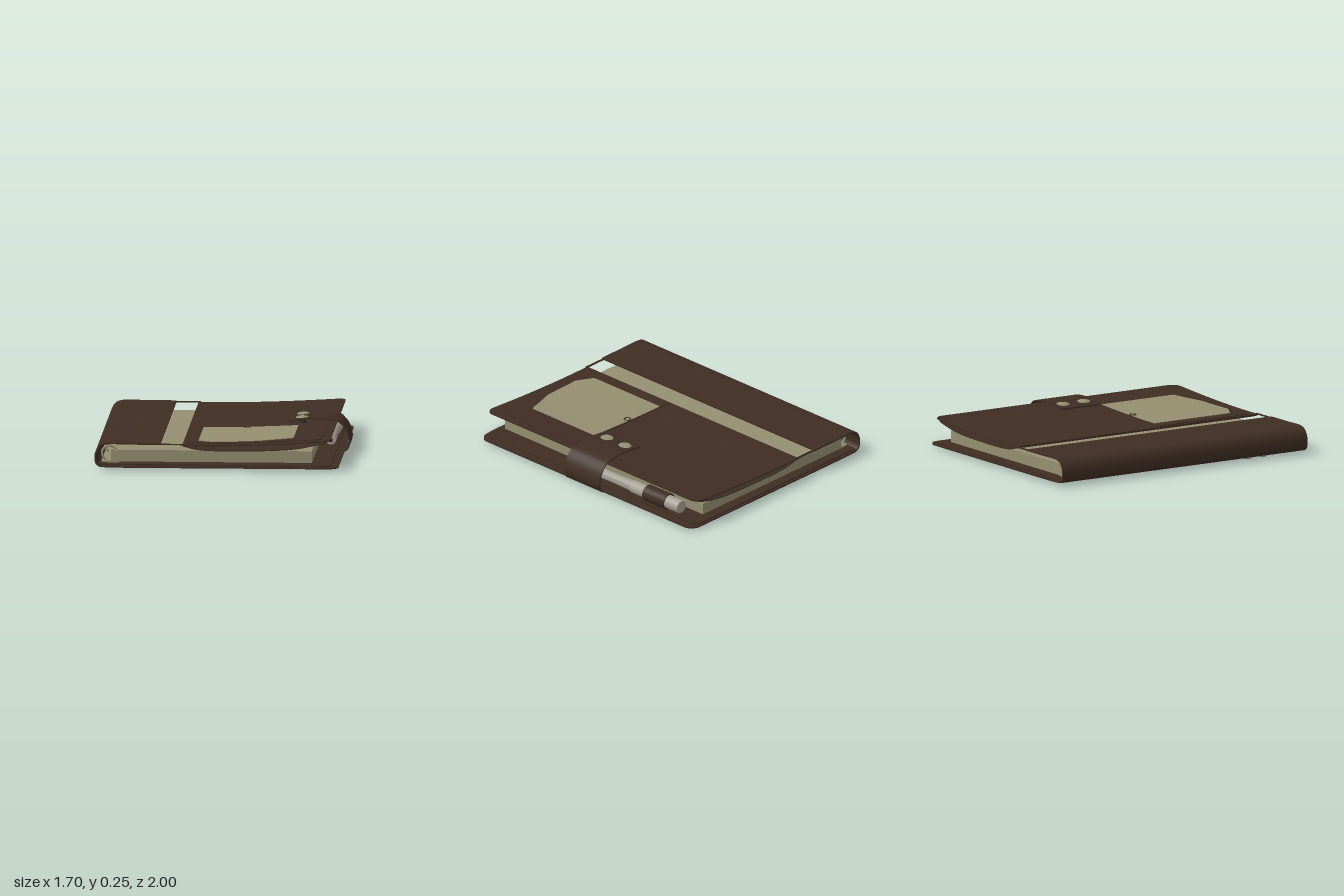
import * as THREE from 'three';
import { toCreasedNormals } from 'three/addons/utils/BufferGeometryUtils.js';

const material = (name, color) => {
  const m = new THREE.MeshStandardMaterial({ color });
  m.name = name;
  return m;
};

// Thin sheet following an (x, y) path; zRange(x) gives its two z edges
function sheet(path, thickness, zRange, samples = 40) {
  const curve = new THREE.CatmullRomCurve3(path.map(([x, y]) => new THREE.Vector3(x, y, 0)), false, 'centripetal');
  const pts = curve.getSpacedPoints(samples);
  const rings = pts.map((p, i) => {
    const a = pts[Math.max(i - 1, 0)], b = pts[Math.min(i + 1, samples)];
    const d = b.clone().sub(a).normalize().multiplyScalar(thickness / 2);
    const [z0, z1] = zRange(p.x, p.y);
    return [
      [p.x - d.y, p.y + d.x, z0], [p.x - d.y, p.y + d.x, z1],
      [p.x + d.y, p.y - d.x, z1], [p.x + d.y, p.y - d.x, z0],
    ];
  });
  const out = [];
  const quad = (a, b, c, d) => out.push(...a, ...b, ...c, ...a, ...c, ...d);
  for (let i = 0; i < samples; i++) {
    for (let k = 0; k < 4; k++) {
      const n = (k + 1) % 4;
      quad(rings[i][k], rings[i][n], rings[i + 1][n], rings[i + 1][k]);
    }
  }
  const s = rings[0], e = rings[samples];
  quad(s[3], s[2], s[1], s[0]);
  quad(e[0], e[1], e[2], e[3]);
  const geo = new THREE.BufferGeometry();
  geo.setAttribute('position', new THREE.Float32BufferAttribute(out, 3));
  geo.computeVertexNormals();
  return toCreasedNormals(geo, 0.6);
}

// Edge of a strip whose corners are rounded towards the end x = xEnd
const inset = (x, xEnd, r) => {
  const u = Math.max(0, x - (xEnd - r));
  return r - Math.sqrt(Math.max(0, r * r - u * u));
};
const rounded = (half, xEnd, r) => (x) => {
  const w = half - inset(x, xEnd, r);
  return [-w, w];
};

// Piecewise linear lookup
const lookup = (table, x) => {
  for (let i = 1; i < table.length; i++) {
    const [x0, v0] = table[i - 1], [x1, v1] = table[i];
    if (x <= x1) return v0 + (v1 - v0) * Math.max(0, (x - x0) / (x1 - x0));
  }
  return table[table.length - 1][1];
};

export function createModel() {
  const model = new THREE.Group();
  const leather = material('dark brown leather', 0x3f2d23);
  const paper = material('tan paper', 0x958e70);
  const metal = material('grey metal', 0xa5a196);
  const dark = material('dark pen tip', 0x2a241e);

  const add = (name, geo, mat, x = 0, y = 0, z = 0) => {
    const mesh = new THREE.Mesh(geo, mat);
    mesh.name = name;
    mesh.position.set(x, y, z);
    model.add(mesh);
    return mesh;
  };

  // Cover: top strip, rounded spine and back board in one piece
  const coverPath = [[-0.4, 0.18], [-0.6, 0.181], [-0.77, 0.18], [-0.81, 0.165], [-0.835, 0.13],
    [-0.844, 0.09], [-0.838, 0.05], [-0.815, 0.028], [-0.77, 0.024], [0, 0.022], [0.81, 0.022]];
  add('cover', sheet(coverPath, 0.01, rounded(1, 0.812, 0.08), 240), leather);
  add('coverLining', sheet([[-0.81, 0.038], [0, 0.036], [0.76, 0.034]], 0.008, rounded(0.99, 0.762, 0.06), 120), leather);

  // Narrow edges bridging the opening in the front cover
  for (const z of [-0.988, 0.988]) {
    add('openingEdge', new THREE.BoxGeometry(0.18, 0.008, 0.012), leather, -0.325, 0.178, z);
  }

  // Front flap, rising towards its free edge, with a sagging lining
  const flapLine = [[-0.25, 0.172], [0, 0.173], [0.2, 0.178], [0.4, 0.186], [0.6, 0.197], [0.755, 0.207]];
  add('frontFlap', sheet(flapLine, 0.008, rounded(0.992, 0.757, 0.07), 140), leather);
  add('flapLining', sheet([[-0.25, 0.167], [-0.14, 0.142], [0.2, 0.136], [0.5, 0.15], [0.64, 0.175], [0.745, 0.202]],
    0.006, rounded(0.98, 0.747, 0.07), 120), leather);

  // Pocket on the flap with its window
  const onFlap = (x0, x1, lift) => Array.from({ length: 7 }, (_, i) => {
    const x = x0 + (x1 - x0) * i / 6;
    return [x, lookup(flapLine, x) + lift];
  });
  add('pocket', sheet(onFlap(-0.23, 0.695, 0.006), 0.006, (x) => [0.21, 0.92 - inset(x, 0.697, 0.04)], 90), leather);
  const windowEdge = [[-0.15, 0.83], [-0.03, 0.895], [0.26, 0.875], [0.49, 0.8], [0.5, 0.79]];
  add('pocketWindow', sheet(onFlap(-0.148, 0.498, 0.0105), 0.004, (x) => [0.215, lookup(windowEdge, x)], 60), paper);
  const notch = add('pocketNotch', new THREE.TorusGeometry(0.022, 0.004, 6, 16), leather, 0.15, 0.19, 0.235);
  notch.rotation.x = Math.PI / 2;

  // Page block
  add('pages', new THREE.BoxGeometry(1.37, 0.08, 1.86), paper, -0.055, 0.09, 0);

  // Ring binder along the spine
  add('binderPlate', new THREE.BoxGeometry(0.12, 0.012, 1.84), paper, -0.745, 0.047, 0);
  for (const z of [-0.9, -0.54, -0.18, 0.18, 0.54, 0.9]) {
    const ring = add('binderRing', new THREE.TorusGeometry(0.05, 0.008, 8, 20, Math.PI * 1.25), paper, -0.752, 0.105, z);
    ring.rotation.z = 0.3;
  }
  for (const z of [0.55, 0.67]) {
    const rivet = add('spineRivet', new THREE.SphereGeometry(0.036, 16, 10), paper, -0.785, 0.02, z);
    rivet.scale.y = 0.3;
  }

  // Closing strap wrapping from the back round the fore edge
  const strapPath = [[0.43, 0.222], [0.5, 0.232], [0.6, 0.241], [0.7, 0.237], [0.77, 0.22], [0.815, 0.175],
    [0.838, 0.12], [0.842, 0.07], [0.825, 0.03], [0.78, 0.01], [0.7, 0.006], [0.53, 0.005]];
  add('strap', sheet(strapPath, 0.009, (x, y) => {
    const w = 0.165 - (y > 0.15 ? inset(-x, -0.428, 0.03) : 0);
    return [-w, w];
  }, 120), leather);
  for (const z of [-0.09, 0.078]) {
    const snap = add('strapSnap', new THREE.SphereGeometry(0.048, 20, 12), paper, 0.52, 0.235, z);
    snap.scale.y = 0.3;
    add('snapStud', new THREE.CylinderGeometry(0.025, 0.025, 0.03, 12), leather, 0.52, 0.215, z);
  }

  // Pen lying along the fore edge (profile as radius, z)
  const penProfile = [[0, -0.81], [0.043, -0.81], [0.047, -0.8], [0.047, -0.5], [0.044, -0.5], [0.044, -0.36],
    [0.038, -0.355], [0.034, -0.2], [0.036, 0.0], [0.036, 0.14], [0, 0.145]];
  const penGeo = toCreasedNormals(new THREE.LatheGeometry(penProfile.map(([r, z]) => new THREE.Vector2(r, z)), 24), 0.6);
  penGeo.rotateX(Math.PI / 2);
  add('pen', penGeo, metal, 0.715, 0.095, 0);
  add('penTip', new THREE.BoxGeometry(0.022, 0.022, 0.008), dark, 0.715, 0.09, 0.145);

  // Leather loop holding the pen
  const loop = Array.from({ length: 13 }, (_, i) => {
    const a = -Math.PI * 0.55 + Math.PI * 1.95 * i / 12;
    return [0.715 + 0.054 * Math.cos(a), 0.095 + 0.054 * Math.sin(a)];
  });
  add('penLoop', sheet(loop, 0.008, () => [-0.695, -0.495], 40), leather);

  return model;
}
